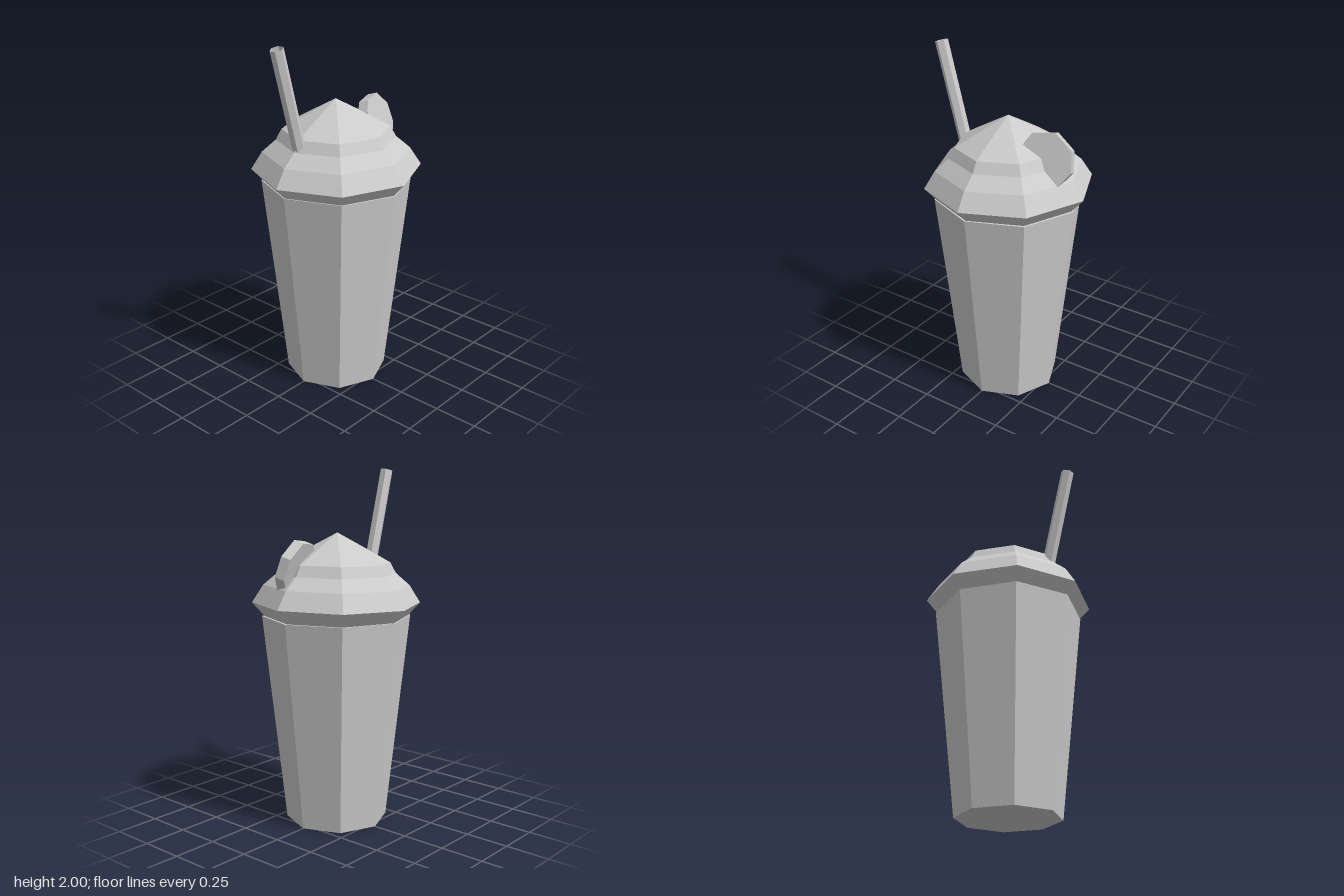
import * as THREE from 'three';

const material = (side = THREE.FrontSide) =>
  new THREE.MeshStandardMaterial({ color: 0xcccccc, flatShading: true, side });

function part(name, geometry, side) {
  const mesh = new THREE.Mesh(geometry, material(side));
  mesh.name = name;
  return mesh;
}

// Tapered eight-sided cup
function createCup() {
  const cup = part('cup', new THREE.CylinderGeometry(0.42, 0.29, 1.19, 8));
  cup.position.y = 0.595;
  return cup;
}

// Stepped dome of whipped cream, tilted a little to one side
function createCream() {
  const profile = [
    [0, 1.18], [0.4, 1.18], [0.475, 1.263], [0.412, 1.362],
    [0.333, 1.43], [0.3, 1.49], [0.18, 1.557], [0, 1.655],
  ].map(([r, y]) => new THREE.Vector2(r, y - 1.263));
  const cream = part('whippedCream', new THREE.LatheGeometry(profile, 8));
  cream.position.y = 1.263;
  cream.rotation.z = 0.016;
  return cream;
}

// Open six-sided straw leaning outwards
function createStraw() {
  const length = 0.8, lean = 0.264;
  const geometry = new THREE.CylinderGeometry(0.037, 0.037, length, 6, 1, true);
  geometry.translate(0, -length / 2, 0);
  const straw = part('straw', geometry, THREE.DoubleSide);
  straw.position.set(-0.447, 1.992, 0);
  straw.rotation.z = lean;
  return straw;
}

// Thick round wafer, leaning back and sunk into the cream
function createWafer() {
  const outline = [
    [0.19, 1.615], [0.155, 1.56], [0.14, 1.45], [0.22, 1.34],
    [0.345, 1.325], [0.43, 1.44], [0.41, 1.55], [0.31, 1.63],
  ].map(([x, y]) => new THREE.Vector2(x, y));
  const geometry = new THREE.ExtrudeGeometry(new THREE.Shape(outline), {
    depth: 1, bevelEnabled: false,
  });
  // Lay the front face on a slanted plane and push the back along its normal
  const normal = new THREE.Vector3(0.255, 0.32, 1).normalize();
  const thickness = 0.058;
  const pos = geometry.attributes.position;
  const p = new THREE.Vector3();
  for (let i = 0; i < pos.count; i++) {
    p.fromBufferAttribute(pos, i);
    const back = (1 - p.z) * thickness;
    p.z = 0.03 - 0.255 * (p.x - 0.31) - 0.32 * (p.y - 1.63);
    p.addScaledVector(normal, -back);
    pos.setXYZ(i, p.x, p.y, p.z);
  }
  geometry.computeVertexNormals();
  return part('wafer', geometry);
}

export function createModel() {
  const model = new THREE.Group();
  model.name = 'milkshake';
  model.add(createCup(), createCream(), createStraw(), createWafer());
  return model;
}
